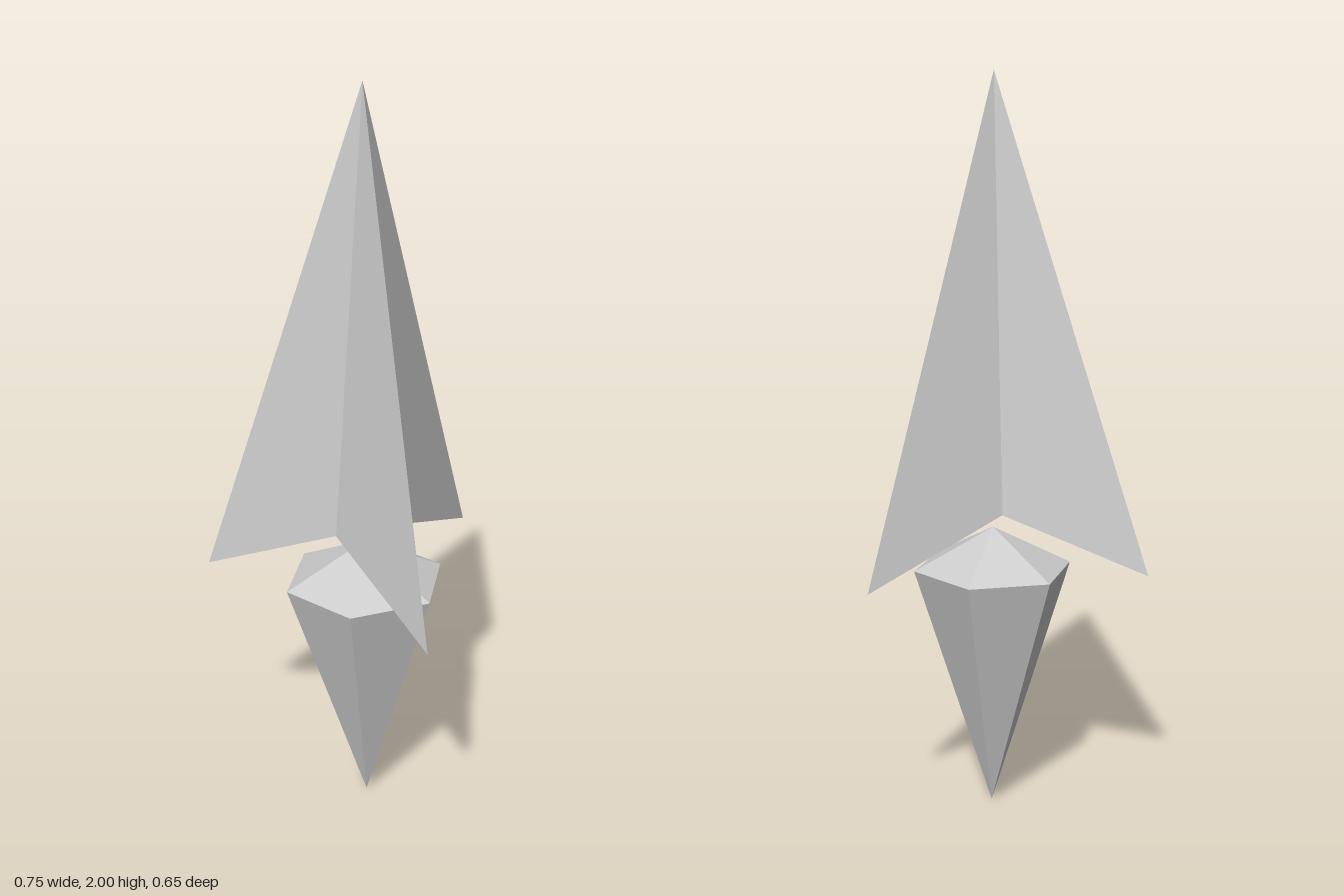
import * as THREE from 'three';

const AXIS_Z = 0.108;

// Three-pointed star spire: ring alternates between inner notches and low, wide tips
function starSpire() {
  const ring = [];
  for (let i = 0; i < 6; i++) {
    const a = (i * Math.PI) / 3;
    const tip = i % 2 === 1;
    const r = tip ? 0.433 : 0.12;
    ring.push([r * Math.sin(a), tip ? 0.697 : 0.86, r * Math.cos(a)]);
  }
  const apex = [0, 2, 0];
  const hub = [0, 0.86, 0];
  const pos = [];
  for (let i = 0; i < 6; i++) {
    const a = ring[i];
    const b = ring[(i + 1) % 6];
    pos.push(...a, ...b, ...apex); // outer flank
    pos.push(...b, ...a, ...hub); // underside
  }
  const g = new THREE.BufferGeometry();
  g.setAttribute('position', new THREE.Float32BufferAttribute(pos, 3));
  g.computeVertexNormals();
  return g;
}

// Six-sided crystal: long point below, shallow cap above
function hexCrystal() {
  const profile = [[0, 0], [0.2185, 0.685], [0, 0.798]].map(([x, y]) => new THREE.Vector2(x, y));
  return new THREE.LatheGeometry(profile, 6, Math.PI / 2);
}

export function createModel() {
  const group = new THREE.Group();
  const material = new THREE.MeshStandardMaterial({ color: 0xcccccc, flatShading: true });
  const add = (name, geometry, x) => {
    const mesh = new THREE.Mesh(geometry, material);
    mesh.name = name;
    mesh.position.set(x, 0, AXIS_Z);
    group.add(mesh);
  };
  add('upperSpire', starSpire(), 0);
  add('lowerCrystal', hexCrystal(), -0.005);
  return group;
}
